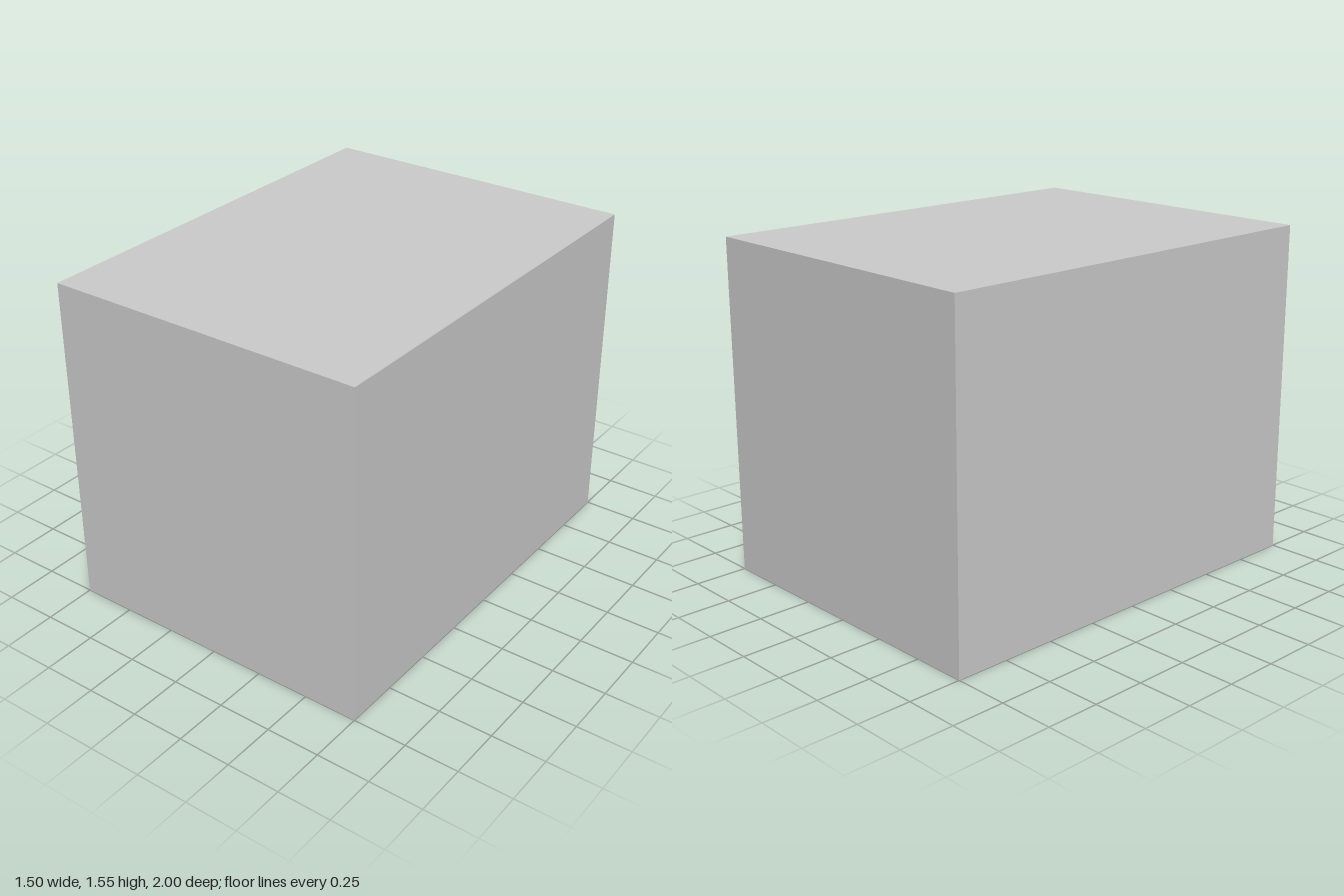
import * as THREE from 'three';

const W = 1.5, H = 1.55, D = 2;
const cavity = { w: 0.75, h: 1.3, d: 1.5, x: -0.1875 };

// Box standing on y = 0 without its bottom face; inward turns the faces to the inside
function openBox(w, h, d, inward = false) {
  const box = new THREE.BoxGeometry(w, h, d).translate(0, h / 2, 0);
  const index = Array.from(box.index.array);
  index.splice(18, 6); // bottom face
  if (inward) index.reverse();
  box.setIndex(index);
  const geometry = box.toNonIndexed();
  geometry.computeVertexNormals();
  return geometry;
}

function rectangle(target, cx, w, d) {
  target.moveTo(cx - w / 2, -d / 2);
  target.lineTo(cx + w / 2, -d / 2);
  target.lineTo(cx + w / 2, d / 2);
  target.lineTo(cx - w / 2, d / 2);
  target.closePath();
  return target;
}

export function createModel() {
  const group = new THREE.Group();
  group.name = 'hollowBlock';
  const material = new THREE.MeshStandardMaterial({ color: 0xcccccc });
  const add = (name, geometry) => {
    const mesh = new THREE.Mesh(geometry, material);
    mesh.name = name;
    group.add(mesh);
    return mesh;
  };

  // Outer walls and top
  add('outerShell', openBox(W, H, D));

  // Underside with the off-centre rectangular opening
  const base = rectangle(new THREE.Shape(), 0, W, D);
  base.holes.push(rectangle(new THREE.Path(), cavity.x, cavity.w, cavity.d));
  add('underside', new THREE.ShapeGeometry(base).rotateX(Math.PI / 2));

  // Recess walls and ceiling, facing inward
  add('cavity', openBox(cavity.w, cavity.h, cavity.d, true)).position.x = cavity.x;

  return group;
}
